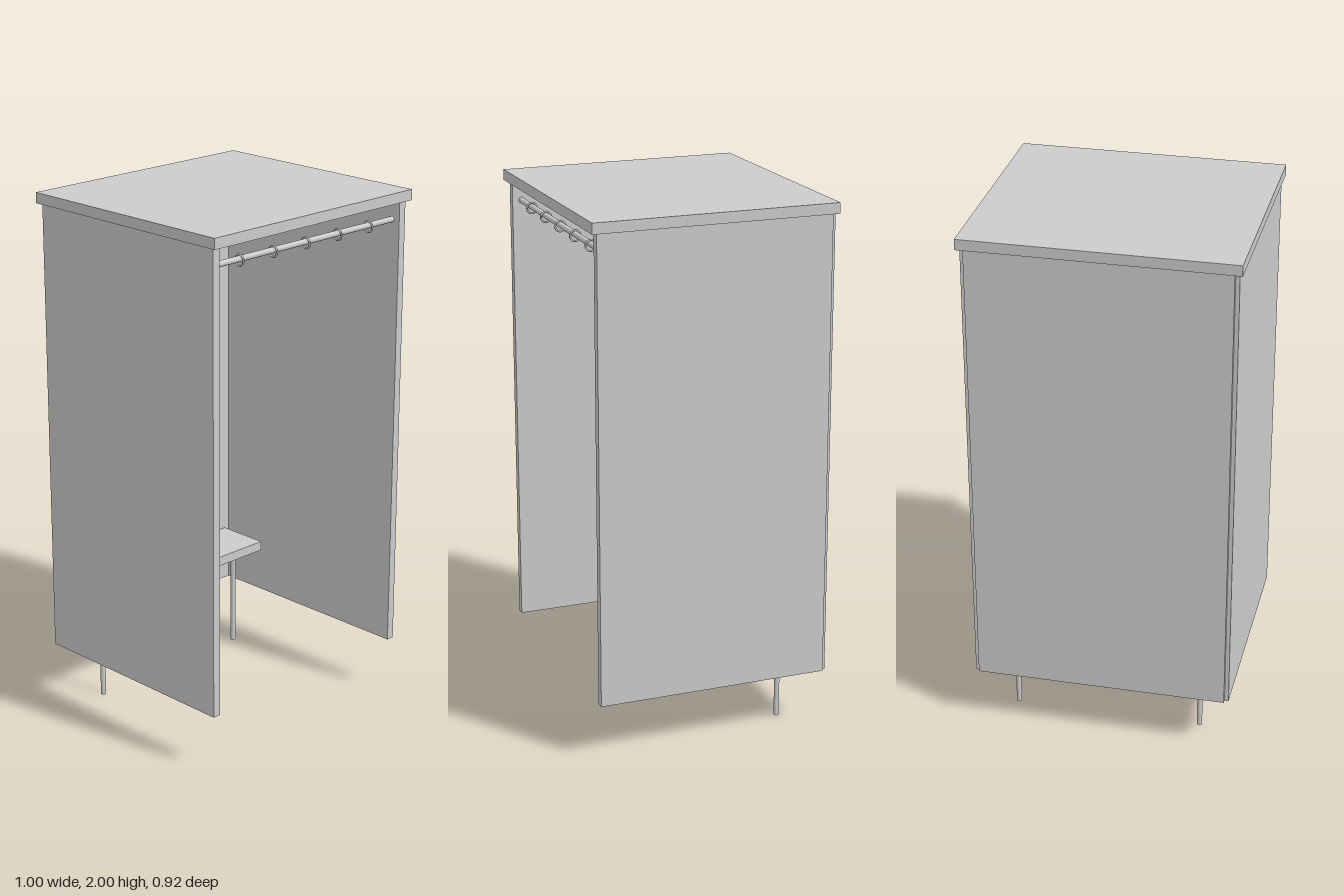
import * as THREE from 'three';

const grey = new THREE.MeshStandardMaterial({ color: 0xcccccc });

export function createModel() {
  const model = new THREE.Group();
  model.name = 'changingCubicle';

  const add = (name, geometry, x, y, z) => {
    const mesh = new THREE.Mesh(geometry, grey);
    mesh.name = name;
    mesh.position.set(x, y, z);
    model.add(mesh);
    return mesh;
  };

  // A box given by its minimum and maximum on each axis
  const box = (name, [x0, x1], [y0, y1], [z0, z1]) =>
    add(name, new THREE.BoxGeometry(x1 - x0, y1 - y0, z1 - z0),
      (x0 + x1) / 2, (y0 + y1) / 2, (z0 + z1) / 2);

  // Cabin shell: overhanging roof, raised walls, open front
  const wallY = [0.215, 1.96];
  box('roof', [-0.5, 0.5], [1.96, 2], [-0.46, 0.46]);
  box('backWall', [-0.473, 0.473], wallY, [-0.455, -0.44]);
  box('rightWall', [-0.488, -0.457], wallY, [-0.44, 0.44]);
  box('leftWall', [0.457, 0.488], wallY, [-0.44, 0.44]);

  // Bench on two round legs
  box('benchSeat', [-0.42, 0.42], [0.408, 0.445], [-0.425, -0.215]);
  for (const side of [-1, 1]) {
    add(side < 0 ? 'rightBenchLeg' : 'leftBenchLeg',
      new THREE.CylinderGeometry(0.01, 0.01, 0.408, 24), side * 0.357, 0.204, -0.312);
  }

  // Curtain rail with hanging rings
  const railZ = 0.405;
  const rail = add('curtainRail', new THREE.CylinderGeometry(0.011, 0.011, 0.914, 24), 0, 1.887, railZ);
  rail.rotation.z = Math.PI / 2;
  for (let i = -2; i <= 2; i++) {
    const ring = add('curtainRing', new THREE.TorusGeometry(0.0195, 0.0035, 10, 32), i * 0.164, 1.882, railZ);
    ring.rotation.y = Math.PI / 2;
  }

  return model;
}
